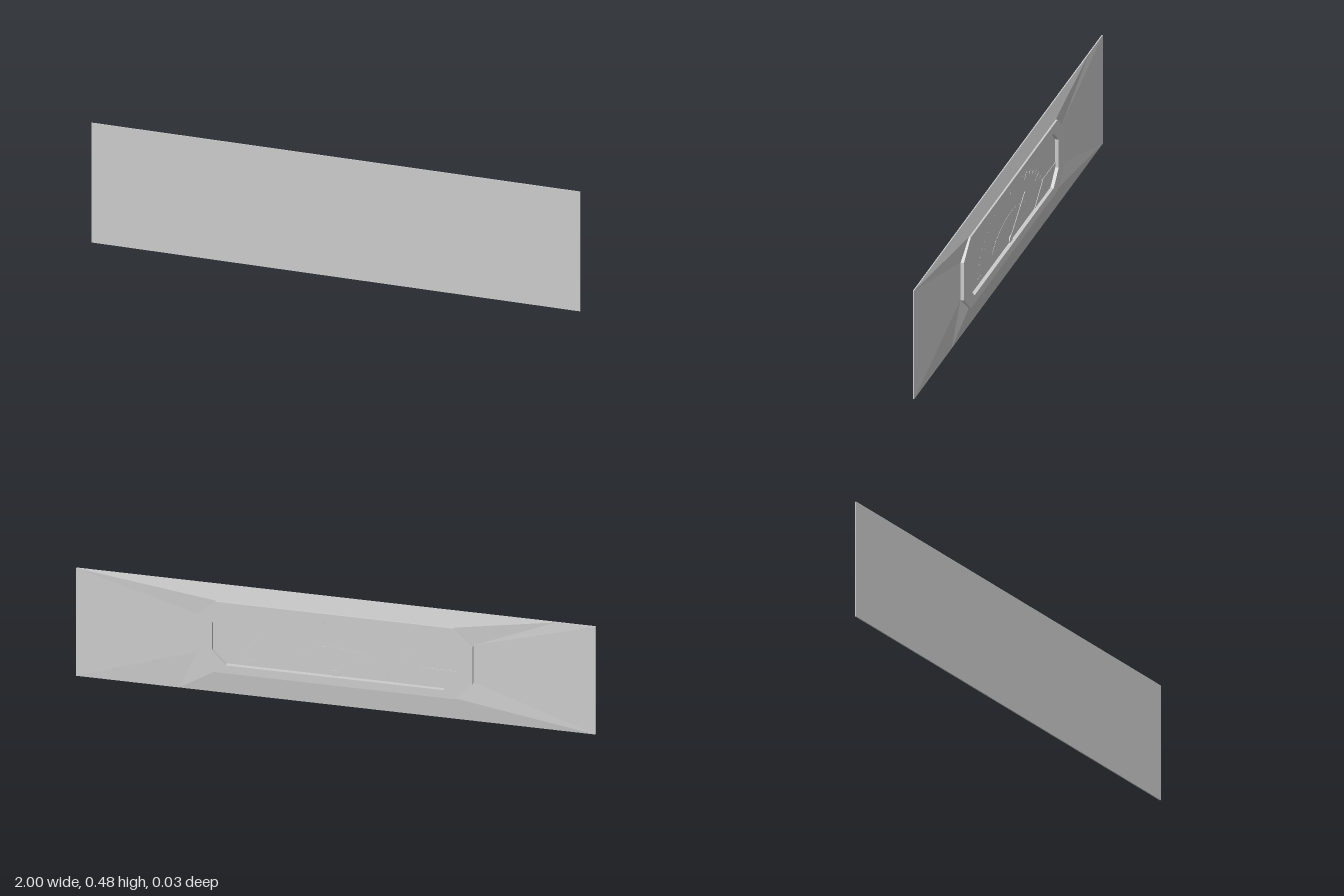
import * as THREE from 'three';

const H = 0.477, EDGE = 0.009, FRONT = 0.0135, FLOOR = 0.002;

// Octagon with chamfered corners: half width, corner x, top/bottom, chamfer heights
function octagon(w, cx, top, hi, lo, bottom) {
  return [[cx, top], [-cx, top], [-w, hi], [-w, lo], [-cx, bottom], [cx, bottom], [w, lo], [w, hi]]
    .map(([x, y]) => new THREE.Vector2(x, y));
}

export function createModel() {
  const group = new THREE.Group();
  const gray = new THREE.MeshStandardMaterial({ color: 0xcccccc, flatShading: true });
  gray.name = 'plainGray';

  const add = (name, geometry, parent = group) => {
    const mesh = new THREE.Mesh(geometry, gray);
    mesh.name = name;
    parent.add(mesh);
    return mesh;
  };
  // Flat plate standing out from the dial floor towards the back
  const plate = (name, shape, back, front, parent) => {
    const geometry = new THREE.ExtrudeGeometry(shape, { depth: front - back, bevelEnabled: false });
    return add(name, geometry.translate(0, 0, back), parent);
  };

  // Flat front panel
  add('frontPanel', new THREE.BoxGeometry(2, H, FRONT - EDGE).translate(0, H / 2, (FRONT + EDGE) / 2));

  // Faceted slope from the panel edge up to the frame: [outer x, y, inner x, y, z]
  const half = [
    [0, H, 0, 0.412, -0.006],
    [0.85, H, 0.46, 0.412, -0.006],
    [1, H, 0.532, 0.34, 0],
    [1, 0.3, 0.532, 0.34, 0],
    [1, 0, 0.532, 0.175, 0],
    [0.605, 0, 0.46, 0.1, -0.006],
    [0.384, 0, 0.384, 0.1, -0.006],
    [0, 0, 0, 0.1, -0.006],
  ];
  const mirrored = half.slice(1, -1).reverse().map(([a, b, c, d, e]) => [-a, b, -c, d, e]);
  const loop = [...half, ...mirrored];
  const positions = [];
  loop.forEach((p, i) => {
    const q = loop[(i + 1) % loop.length];
    const po = [p[0], p[1], EDGE], qo = [q[0], q[1], EDGE];
    const pi = p.slice(2), qi = q.slice(2);
    positions.push(...po, ...qo, ...pi);
    if (pi[0] !== qi[0] || pi[1] !== qi[1]) positions.push(...qo, ...qi, ...pi);
  });
  const slope = new THREE.BufferGeometry();
  slope.setAttribute('position', new THREE.Float32BufferAttribute(positions, 3));
  slope.computeVertexNormals();
  add('slopedBack', slope);

  // Raised octagonal frame around the dial
  const frame = new THREE.Shape(octagon(0.532, 0.46, 0.412, 0.34, 0.175, 0.1));
  frame.holes.push(new THREE.Path(octagon(0.472, 0.42, 0.374, 0.318, 0.195, 0.135)));
  plate('dialFrame', frame, -FRONT, 0.004);

  // Dial floor
  plate('dialFloor', new THREE.Shape(octagon(0.5, 0.44, 0.39, 0.33, 0.185, 0.12)), FLOOR, 0.006);

  // Gauge: arc, ticks, hub and needle
  const gauge = new THREE.Group();
  gauge.name = 'gauge';
  group.add(gauge);
  const cy = 0.145;
  const onArc = (a, b, t) => [a * Math.cos(t), cy + b * Math.sin(t)];

  const arc = new THREE.Shape();
  const steps = 32, from = 0.35, to = Math.PI - 0.15;
  for (let i = 0; i <= steps; i++) {
    const p = onArc(0.205, 0.115, from + (to - from) * i / steps);
    if (i) arc.lineTo(...p); else arc.moveTo(...p);
  }
  for (let i = steps; i >= 0; i--) arc.lineTo(...onArc(0.195, 0.106, from + (to - from) * i / steps));
  plate('innerArc', arc, FLOOR - 0.001, FLOOR, gauge);

  for (let i = 0; i <= 24; i++) {
    const t = 0.08 + (Math.PI - 0.16) * i / 24;
    const k = i % 4 ? 0.95 : 0.87;
    const d = 0.006;
    const tick = new THREE.Shape([[1, -d], [1, d], [k, d], [k, -d]]
      .map(([s, o]) => new THREE.Vector2(...onArc(0.36 * s, 0.225 * s, t + o))));
    plate('tick', tick, FLOOR - 0.001, FLOOR, gauge);
  }

  const hub = add('needleHub', new THREE.CylinderGeometry(0.016, 0.016, 0.004, 16).rotateX(Math.PI / 2), gauge);
  hub.position.set(0, cy, FLOOR - 0.002);
  const needle = new THREE.Shape([[0.005, cy + 0.006], [-0.005, cy - 0.006], [-0.15, 0.267], [-0.148, 0.27]]
    .map(([x, y]) => new THREE.Vector2(x, y)));
  plate('needle', needle, FLOOR - 0.003, FLOOR - 0.001, gauge);

  // Small raised plate in the lower corner of the dial
  const corner = new THREE.Shape([[-0.255, 0.135], [-0.345, 0.215], [-0.472, 0.215], [-0.472, 0.195], [-0.42, 0.135]]
    .map(([x, y]) => new THREE.Vector2(x, y)));
  plate('cornerPlate', corner, FLOOR - 0.002, FLOOR, gauge);

  return group;
}
